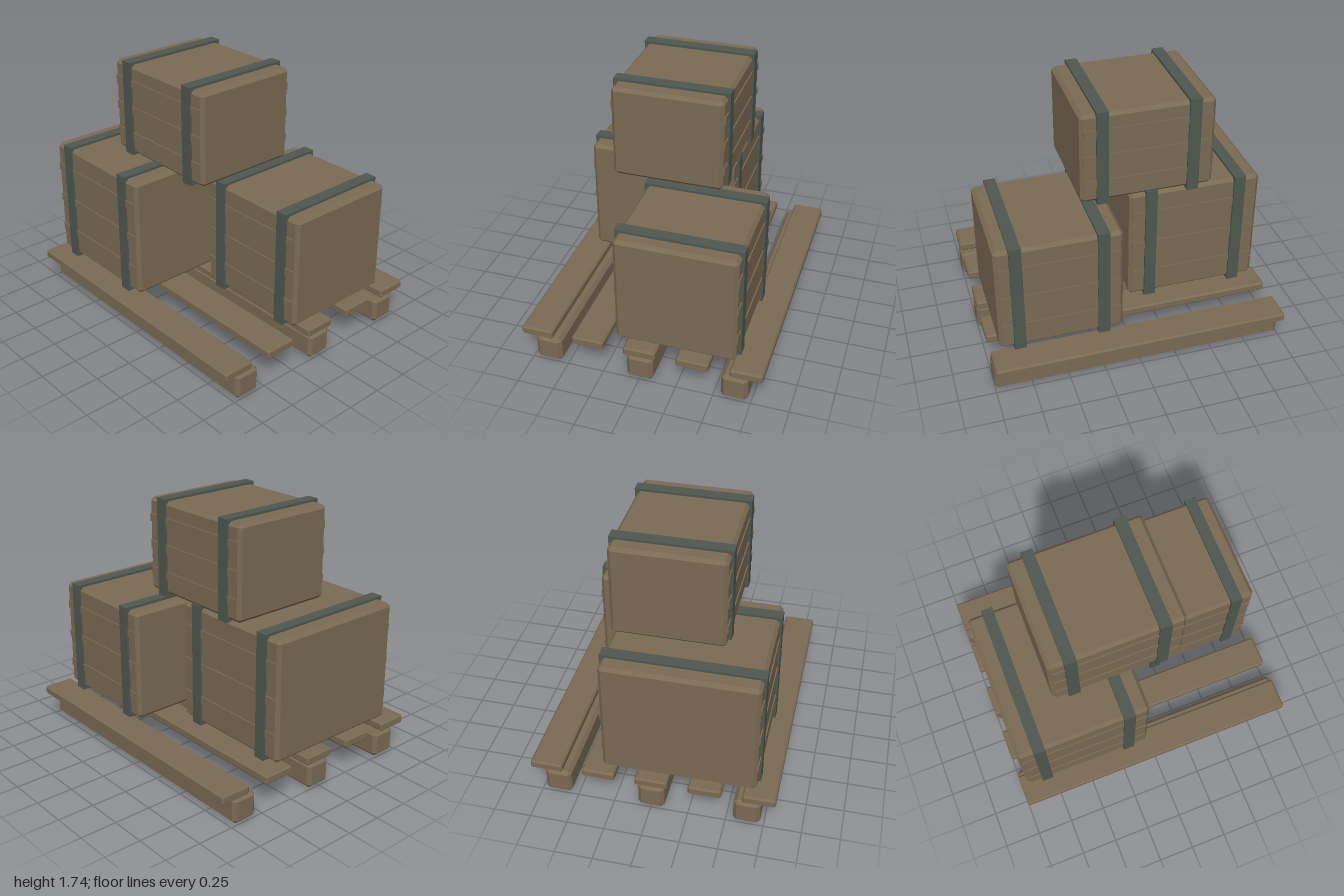
import * as THREE from 'three';
import { ConvexGeometry } from 'three/addons/geometries/ConvexGeometry.js';

const wood = new THREE.MeshStandardMaterial({ color: 0x7a6a53 });
wood.name = 'weathered wood';
const iron = new THREE.MeshStandardMaterial({ color: 0x4e5750 });
iron.name = 'grey iron';

// Box with flat chamfers on every edge and corner
function chamferedBox(w, h, d, c) {
  const points = [];
  for (const x of [-1, 1]) for (const y of [-1, 1]) for (const z of [-1, 1]) {
    const [X, Y, Z] = [x * w / 2, y * h / 2, z * d / 2];
    points.push(
      new THREE.Vector3(X, Y - y * c, Z - z * c),
      new THREE.Vector3(X - x * c, Y, Z - z * c),
      new THREE.Vector3(X - x * c, Y - y * c, Z));
  }
  return new ConvexGeometry(points);
}

function add(parent, name, geometry, material, x, y, z) {
  const mesh = new THREE.Mesh(geometry, material);
  mesh.name = name;
  mesh.position.set(x, y, z);
  parent.add(mesh);
}

// Crate with raised slats front and back and two iron bands around it
function createCrate(name, w, h, d, x, y, z) {
  const crate = new THREE.Group();
  crate.name = name;
  crate.position.set(x, y, z);
  add(crate, 'crateBody', chamferedBox(w, h, d, 0.023), wood, 0, 0, 0);

  const slat = new THREE.BoxGeometry(w - 0.044, 0.054, 0.03);
  for (const side of [-1, 1])
    for (const row of [-1, 0, 1])
      add(crate, 'slat', slat, wood, 0, row * h * 0.29, side * (d / 2 - 0.007));

  const band = new THREE.BoxGeometry(0.08, h + 0.034, d + 0.03);
  for (const side of [-1, 1]) add(crate, 'ironBand', band, iron, side * w * 0.34, 0, 0);
  return crate;
}

export function createModel() {
  const model = new THREE.Group();
  model.name = 'cratesOnPallet';

  // Pallet: three runners under five deck planks
  const pallet = new THREE.Group();
  pallet.name = 'pallet';
  const runner = chamferedBox(2, 0.18, 0.178, 0.024);
  for (const i of [-1, 0, 1]) add(pallet, 'runner', runner, wood, 0, 0.09, i * 0.636);
  const plank = chamferedBox(2, 0.062, 0.218, 0.011);
  for (let i = -2; i <= 2; i++) add(pallet, 'deckPlank', plank, wood, 0, 0.21, i * 0.356);
  model.add(pallet);

  // Two crates on the deck and one stacked on top
  model.add(
    createCrate('rightCrate', 0.915, 0.83, 1.02, -0.492, 0.67, 0.175),
    createCrate('leftCrate', 0.84, 0.77, 0.805, 0.515, 0.64, -0.223),
    createCrate('topCrate', 0.9, 0.635, 0.748, -0.15, 1.41, 0.028));
  return model;
}
